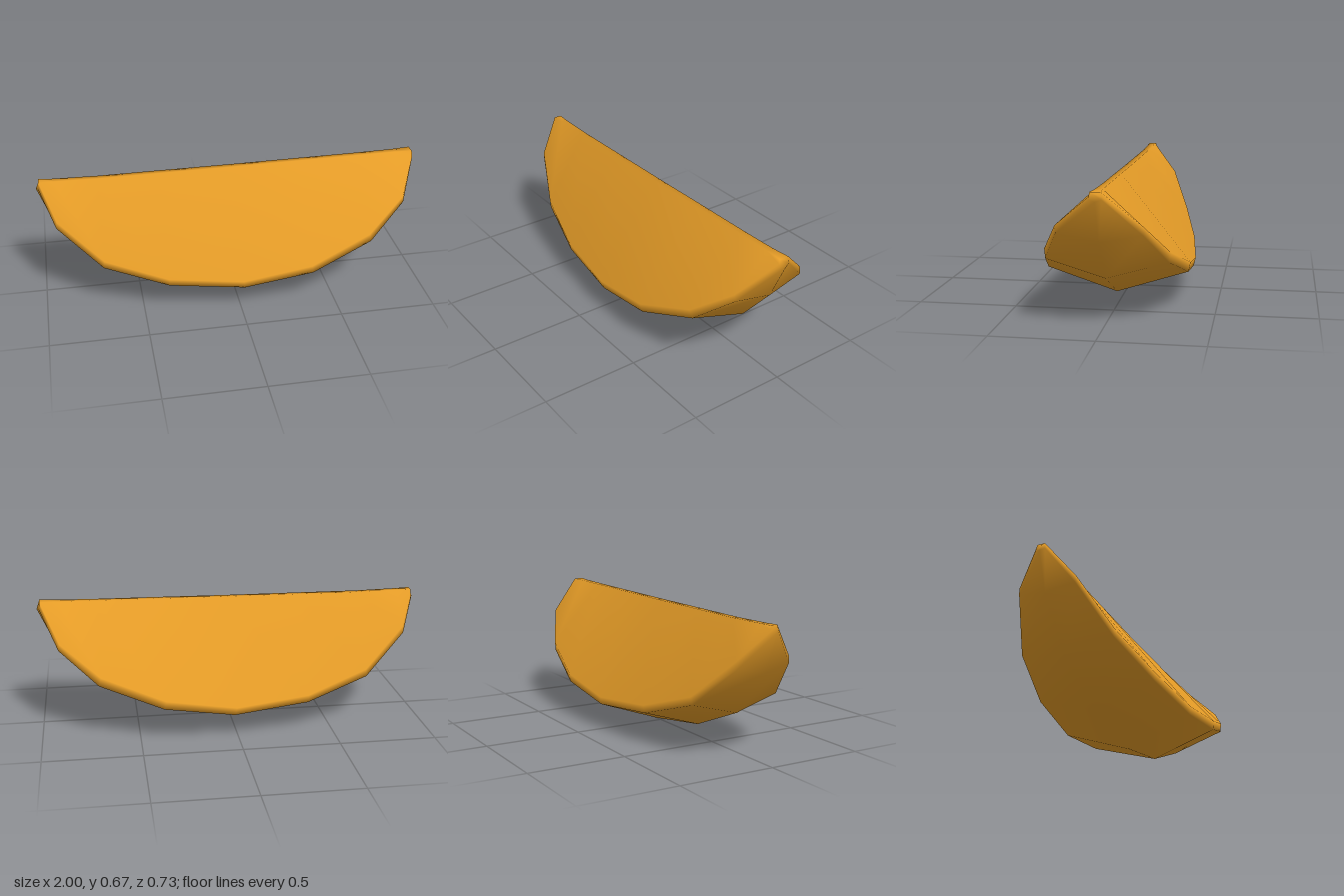
import * as THREE from 'three';

// Stations along the wedge:
// [rimX, keelX, keelY, rimLowY, rimTopY, rimZ, ridgeY, ridgeZ]
const STATIONS = [
  [-0.985, -1.0, 0.62, 0.63, 0.645, 0.025, 0.662, 0.02],
  [-0.91, -0.93, 0.43, 0.46, 0.495, 0.15, 0.66, 0.016],
  [-0.69, -0.71, 0.195, 0.26, 0.3, 0.25, 0.656, 0.016],
  [-0.37, -0.37, 0.06, 0.16, 0.2, 0.322, 0.658, 0.016],
  [0.01, 0.04, 0.0, 0.127, 0.168, 0.362, 0.66, 0.016],
  [0.37, 0.4, 0.07, 0.18, 0.225, 0.366, 0.664, 0.016],
  [0.69, 0.73, 0.22, 0.3, 0.345, 0.303, 0.667, 0.016],
  [0.89, 0.91, 0.43, 0.465, 0.5, 0.205, 0.67, 0.018],
  [0.985, 1.0, 0.63, 0.638, 0.65, 0.03, 0.672, 0.025],
];

// Cross-section loop: down the front side, round the keel, up the back
function section([x, keelX, keelY, lowY, topY, z, ridgeY, ridgeZ]) {
  const lowX = x + (keelX - x) * 0.3;
  const lowZ = z * 0.975;
  return [
    [x, ridgeY, ridgeZ],
    [x, topY, z],
    [lowX, lowY, lowZ],
    [keelX, keelY, 0],
    [lowX, lowY, -lowZ],
    [x, topY, -z],
    [x, ridgeY, -ridgeZ],
  ];
}

function wedgeGeometry() {
  const positions = STATIONS.flatMap((s) => section(s).flat());
  const index = [];
  const n = 7;
  const last = STATIONS.length - 1;
  for (let i = 0; i < last; i++) {
    for (let j = 0; j < n; j++) {
      const k = (j + 1) % n;
      const a = i * n + j, b = i * n + k;
      const c = b + n, d = a + n;
      index.push(a, b, c, a, c, d);
    }
  }
  // Small caps at both tips
  for (let j = 1; j < n - 1; j++) {
    index.push(0, j + 1, j);
    index.push(last * n, last * n + j, last * n + j + 1);
  }
  const geometry = new THREE.BufferGeometry();
  geometry.setAttribute('position', new THREE.Float32BufferAttribute(positions, 3));
  geometry.setIndex(index);
  geometry.computeVertexNormals(); // area-weighted, so the narrow bevels read soft
  return geometry;
}

export function createModel() {
  const group = new THREE.Group();
  group.name = 'wedge';
  const orange = new THREE.MeshStandardMaterial({ color: 0xe59c27 });
  orange.name = 'golden orange';
  const wedge = new THREE.Mesh(wedgeGeometry(), orange);
  wedge.name = 'wedgeSlice';
  group.add(wedge);
  return group;
}
